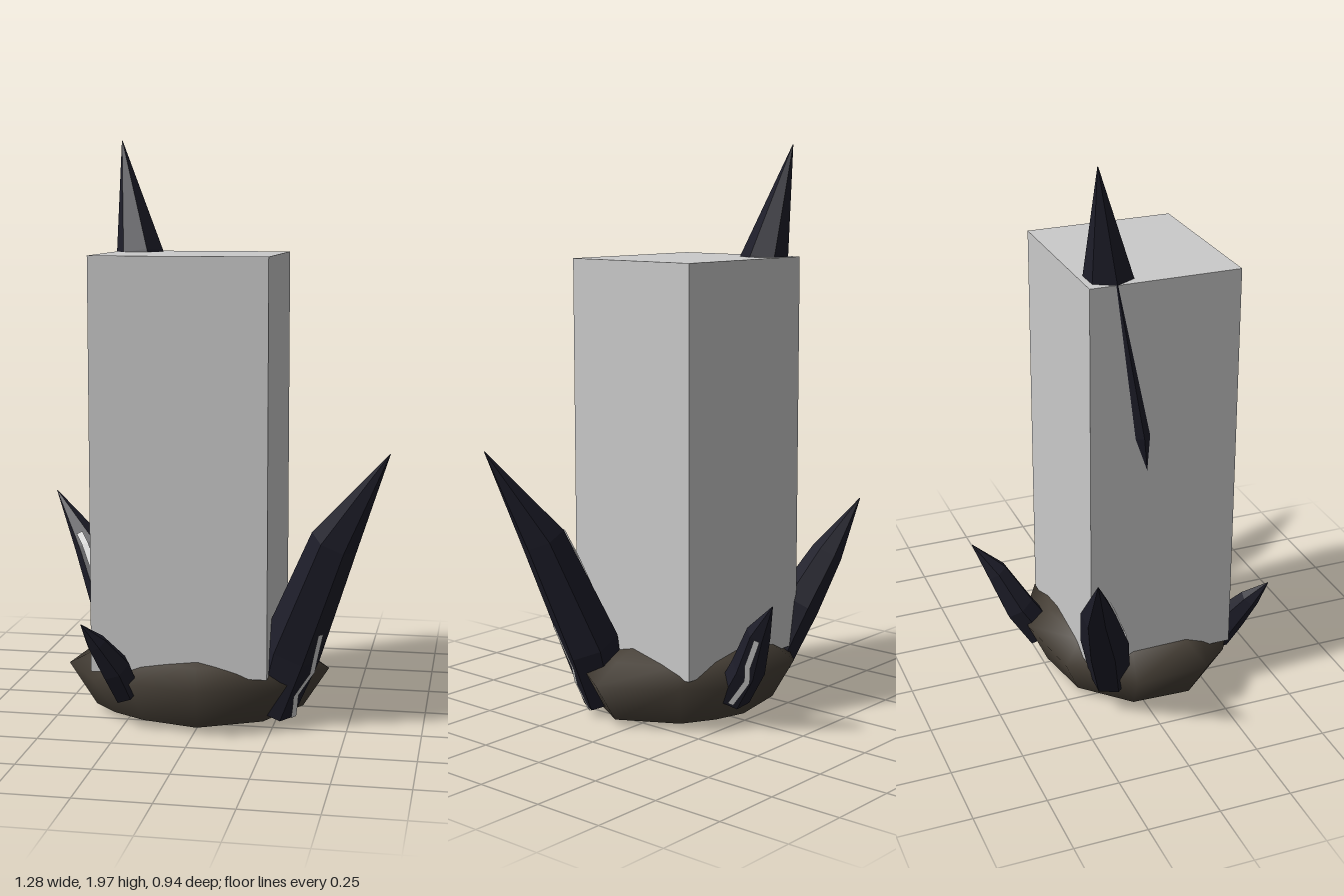
import * as THREE from 'three';

const V = (a) => new THREE.Vector3(...a);

// Skin a stack of equal-length vertex rings, listed from bottom to top.
function loft(rings) {
  const n = rings[0].length, pos = [], index = [];
  rings.forEach((r) => r.forEach((p) => pos.push(p.x, p.y, p.z)));
  for (let i = 0; i < rings.length - 1; i++) {
    for (let j = 0; j < n; j++) {
      const a = i * n + j, b = i * n + (j + 1) % n, c = b + n, d = a + n;
      index.push(a, d, b, b, d, c);
    }
  }
  const g = new THREE.BufferGeometry();
  g.setAttribute('position', new THREE.Float32BufferAttribute(pos, 3));
  g.setIndex(index);
  g.computeVertexNormals();
  return g;
}

function faceted(g) {
  const f = g.toNonIndexed();
  f.computeVertexNormals();
  return f;
}

export function createModel() {
  const root = new THREE.Group();
  const material = (name, color, side = THREE.FrontSide) => {
    const m = new THREE.MeshStandardMaterial({ color, side });
    m.name = name;
    return m;
  };
  const rockMat = material('brown rock', 0x453e35);
  const crystalMat = material('dark crystal', 0x1d1d29);
  const veinMat = material('pale vein', 0xd8d8d8, THREE.DoubleSide);
  const blockMat = material('light grey block', 0xcacaca);

  const add = (parent, name, geometry, mat) => {
    const m = new THREE.Mesh(geometry, mat);
    m.name = name;
    parent.add(m);
    return m;
  };

  // Upright block around the centre crystal
  add(root, 'centreBlock', new THREE.BoxGeometry(0.6, 1.4, 0.52), blockMat).position.set(-0.06, 0.913, 0.06);

  // Rock mound: one irregular outline scaled through a domed profile
  const outline = [
    [0.42, 0.06], [0.36, 0.16], [0.28, 0.31], [0.02, 0.44], [-0.22, 0.38], [-0.36, 0.3],
    [-0.47, 0.19], [-0.46, -0.07], [-0.27, -0.26], [0, -0.31], [0.14, -0.27], [0.28, -0.19],
  ];
  const cx = -0.03, cz = 0.04;
  const rockRing = (s, y) => outline.map(([x, z], j) =>
    new THREE.Vector3(cx + (x - cx) * s, y + (s === 1 ? 0.012 * Math.sin(j * 2.3) : 0), cz + (z - cz) * s));
  const rock = new THREE.Group();
  rock.name = 'rockBase';
  root.add(rock);
  add(rock, 'rockMound', loft([rockRing(0.8, 0.05), rockRing(1, 0.19), rockRing(0.77, 0.25),
    rockRing(0.45, 0.31), rockRing(0.001, 0.335)]), rockMat);
  add(rock, 'rockUnderside', loft([rockRing(0.001, 0.05), rockRing(0.8, 0.05)]), rockMat);

  // Six-sided crystal: rings are [x, y, z, radius]; veins run along the face nearest to dir
  function crystal(name, rings, veins = []) {
    const group = new THREE.Group();
    group.name = name;
    root.add(group);
    const first = V(rings[0].slice(0, 3)), last = V(rings[rings.length - 1].slice(0, 3));
    const w = last.sub(first).normalize();
    const u = new THREE.Vector3(1, 0, 0).addScaledVector(w, -w.x).normalize();
    const v = new THREE.Vector3().crossVectors(u, w);
    const radial = (k) => u.clone().multiplyScalar(Math.cos(k * Math.PI / 3))
      .addScaledVector(v, Math.sin(k * Math.PI / 3));
    const skin = rings.map(([x, y, z, r]) =>
      Array.from({ length: 6 }, (_, k) => V([x, y, z]).addScaledVector(radial(k), r)));
    const foot = Array(6).fill(first);
    add(group, name + 'Body', faceted(loft([foot, ...skin])), crystalMat);

    // Vein points are [height in ring steps, position across the face]
    veins.forEach(({ dir, path, width }) => {
      const d = V(dir);
      let face = 0;
      for (let k = 1; k < 6; k++) {
        if (radial(k + 0.5).dot(d) > radial(face + 0.5).dot(d)) face = k;
      }
      const out = radial(face + 0.5);
      const side = radial(face + 2);
      const at = (h, s) => {
        const i = Math.min(Math.floor(h), skin.length - 2);
        const low = skin[i][face].clone().lerp(skin[i][(face + 1) % 6], s);
        const high = skin[i + 1][face].clone().lerp(skin[i + 1][(face + 1) % 6], s);
        return low.lerp(high, h - i).addScaledVector(out, 0.006);
      };
      const pos = [];
      let prev = null;
      for (let i = 0; i < path.length - 1; i++) {
        for (let t = i ? 1 : 0; t <= 6; t++) {
          const f = t / 6;
          const p = at(path[i][0] + (path[i + 1][0] - path[i][0]) * f,
            path[i][1] + (path[i + 1][1] - path[i][1]) * f);
          const a = p.clone().addScaledVector(side, width / 2);
          const b = p.clone().addScaledVector(side, -width / 2);
          if (prev) [prev[0], prev[1], a, a, prev[1], b].forEach((q) => pos.push(q.x, q.y, q.z));
          prev = [a, b];
        }
      }
      const g = new THREE.BufferGeometry();
      g.setAttribute('position', new THREE.Float32BufferAttribute(pos, 3));
      g.computeVertexNormals();
      add(group, name + 'Vein', g, veinMat);
    });
  }

  // Tall leaning centre crystal, its tip above the block and its foot below the rock
  crystal('mainCrystal', [
    [-0.05, 0.075, 0.07, 0.25], [-0.085, 0.5, 0.06, 0.22], [-0.19, 1.1, -0.02, 0.187],
    [-0.28, 1.61, -0.107, 0.083], [-0.355, 2, -0.17, 0.001],
  ]);

  // Shorter crystals leaning out around the rock
  crystal('leftCrystal', [
    [0.24, 0.08, 0.19, 0.078], [0.305, 0.29, 0.193, 0.103], [0.455, 0.68, 0.27, 0.08], [0.64, 0.99, 0.35, 0.001],
  ], [
    { dir: [1, -0.3, 0], width: 0.03, path: [[0.02, 0.1], [0.45, 0.68], [0.82, 0.22], [1.28, 0.62]] },
    { dir: [-1, 0.5, -0.6], width: 0.028, path: [[1.45, 0.5], [1.75, 0.8], [1.98, 0.7]] },
  ]);
  crystal('rightCrystal', [
    [-0.33, 0.15, -0.12, 0.07], [-0.41, 0.35, -0.17, 0.082], [-0.505, 0.53, -0.23, 0.058], [-0.64, 0.72, -0.28, 0.001],
  ], [
    { dir: [-0.2, 0, 1], width: 0.024, path: [[0.82, 0.5], [1.35, 0.45]] },
    { dir: [-0.2, 0, 1], width: 0.024, path: [[1.6, 0.6], [2.2, 0.55]] },
  ]);
  crystal('backCrystal', [
    [0.055, 0.13, -0.24, 0.062], [0.07, 0.25, -0.32, 0.06], [0.105, 0.39, -0.39, 0.042], [0.135, 0.5, -0.47, 0.001],
  ], [
    { dir: [1, -0.4, -0.5], width: 0.02, path: [[0.1, 0.45], [0.9, 0.25], [1.3, 0.5], [2, 0.4]] },
  ]);
  crystal('frontCrystal', [
    [-0.235, 0.15, 0.33, 0.05], [-0.265, 0.245, 0.37, 0.055], [-0.315, 0.34, 0.42, 0.035], [-0.355, 0.415, 0.47, 0.001],
  ]);
  return root;
}
